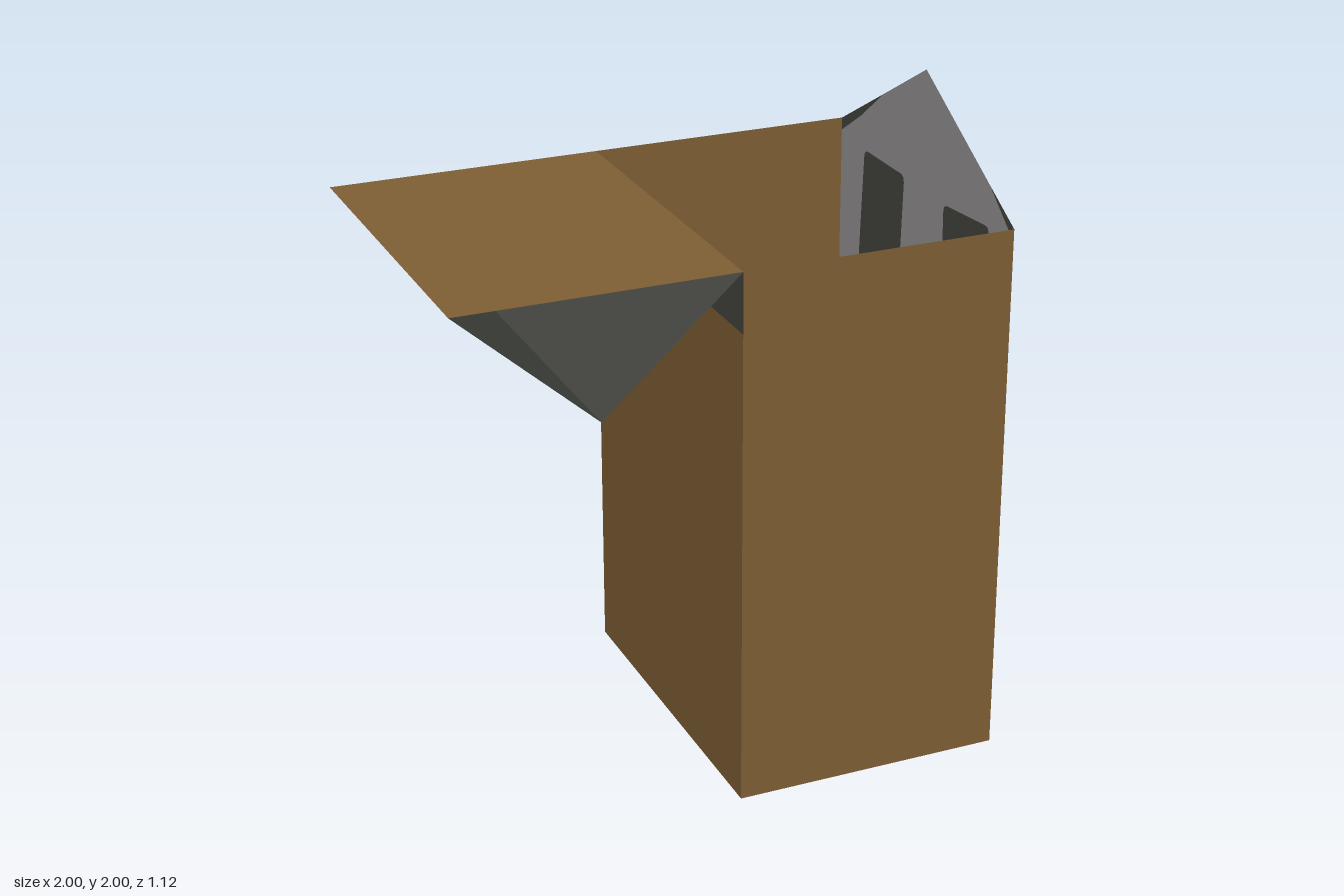
import * as THREE from 'three';

const mat = (name, color) => {
  const m = new THREE.MeshStandardMaterial({ color, side: THREE.DoubleSide });
  m.name = name;
  return m;
};

// Overall dimensions of the open box
const BACK = -0.155, FACE = 0.687, Z = 0.56, TOP = 1.685, MID = 0.73, LIP = 1.5, LID = -1;

export function createModel() {
  const card = mat('cardboard', 0x805f35);
  const grey = mat('greyPaint', 0x999496);
  const dark = mat('darkPaint', 0x444640);
  const model = new THREE.Group();
  model.name = 'cardboardHouse';

  const add = (name, geometry, material) => {
    const mesh = new THREE.Mesh(geometry, material);
    mesh.name = name;
    model.add(mesh);
    return mesh;
  };

  // Flat four-cornered sheet, corners anticlockwise as seen from its face
  const sheet = (name, material, ...corners) => {
    const g = new THREE.BufferGeometry();
    g.setAttribute('position', new THREE.Float32BufferAttribute(corners.flat(), 3));
    g.setIndex([0, 1, 2, 0, 2, 3]);
    g.computeVertexNormals();
    return add(name, g, material);
  };

  // Facade piece drawn in (-z, y) and turned to face +x
  const facadePiece = (name, shape, material) => {
    const mesh = add(name, new THREE.ShapeGeometry(shape, 4), material);
    mesh.rotation.y = Math.PI / 2;
    mesh.position.x = FACE;
  };

  const polygon = (points) => new THREE.Shape(points.map(([u, y]) => new THREE.Vector2(u, y)));

  // Polygon with softly rounded corners
  const rounded = (points, r = 0.025) => {
    const v = points.map(([u, y]) => new THREE.Vector2(u, y));
    const toward = (a, b) => a.clone().add(b.clone().sub(a).setLength(r));
    const s = new THREE.Shape();
    v.forEach((p, i) => {
      const a = toward(p, v[(i + v.length - 1) % v.length]);
      const b = toward(p, v[(i + 1) % v.length]);
      if (i === 0) s.moveTo(a.x, a.y);
      else s.lineTo(a.x, a.y);
      s.quadraticCurveTo(p.x, p.y, b.x, b.y);
    });
    s.closePath();
    return s;
  };

  // Box floor, side walls and rear wall with its dark upper strip
  sheet('floor', card, [BACK, 0, -Z], [FACE, 0, -Z], [FACE, 0, Z], [BACK, 0, Z]);
  sheet('frontWall', card, [BACK, 0, Z], [FACE, 0, Z], [FACE, TOP, Z], [BACK, TOP, Z]);
  sheet('backWall', card, [FACE, 0, -Z], [BACK, 0, -Z], [BACK, TOP, -Z], [FACE, TOP, -Z]);
  sheet('hingeWall', card, [BACK, 0, -Z], [BACK, 0, Z], [BACK, LIP, Z], [BACK, LIP, -Z]);
  sheet('hingeWallStrip', dark, [BACK, LIP, -Z], [BACK, LIP, Z], [BACK, TOP, Z], [BACK, TOP, -Z]);

  // Opened roof: flat panel above two slopes meeting in an upturned ridge, open ends
  const rx = (BACK + LID) / 2, ry = 1.31;
  sheet('roofPanel', card, [LID, TOP, Z], [BACK, TOP, Z], [BACK, TOP, -Z], [LID, TOP, -Z]);
  sheet('roofSlopeInner', dark, [rx, ry, Z], [rx, ry, -Z], [BACK, TOP, -Z], [BACK, TOP, Z]);
  sheet('roofSlopeOuter', dark, [rx, ry, -Z], [rx, ry, Z], [LID, TOP, Z], [LID, TOP, -Z]);

  // Facade: brown lower storey and grey gabled upper storey
  const lower = polygon([[-Z, 0], [Z, 0], [Z, 0.727], [0, 0.728], [-Z, 0.737]]);
  const upper = polygon([[-Z, 0.737], [0, 0.728], [Z, 0.727], [Z, 1.645], [0.42, 1.735],
    [0.28, 1.842], [0, 2], [-0.41, 1.769], [-Z, 1.645]]);

  // Windows and door fill matching openings in the facade
  const openings = [
    ['upperWindowLeft', upper, [[-0.415, 1.095], [-0.145, 1.097], [-0.135, 1.62], [-0.415, 1.642]]],
    ['upperWindowRight', upper, [[0.15, 1.087], [0.43, 1.1], [0.395, 1.628], [0.122, 1.628]]],
    ['lowerWindow', lower, [[-0.438, 0.077], [-0.16, 0.077], [-0.16, 0.555], [-0.443, 0.607]]],
    ['door', lower, [[0.253, 0.003], [0.44, 0.003], [0.522, 0.04], [0.54, 0.537], [0.262, 0.537]]],
  ];
  for (const [name, wall, points] of openings) {
    const shape = rounded(points);
    wall.holes.push(shape);
    facadePiece(name, shape, dark);
  }
  facadePiece('lowerFacade', lower, card);
  facadePiece('upperFacade', upper, grey);

  // Dark painted eaves at the gable corners
  facadePiece('eaveLeft', polygon([[-Z, 1.645], [-0.41, 1.769], [-Z, TOP]]), dark);
  facadePiece('eaveRight', polygon([[Z, 1.645], [Z, TOP], [0.28, 1.842], [0.42, 1.735]]), dark);

  // Flared canopy over the door
  sheet('canopy', card, [FACE, MID, -0.085], [1, 0.623, -0.02], [1, 0.623, -Z], [FACE, MID, -0.525]);

  return model;
}
